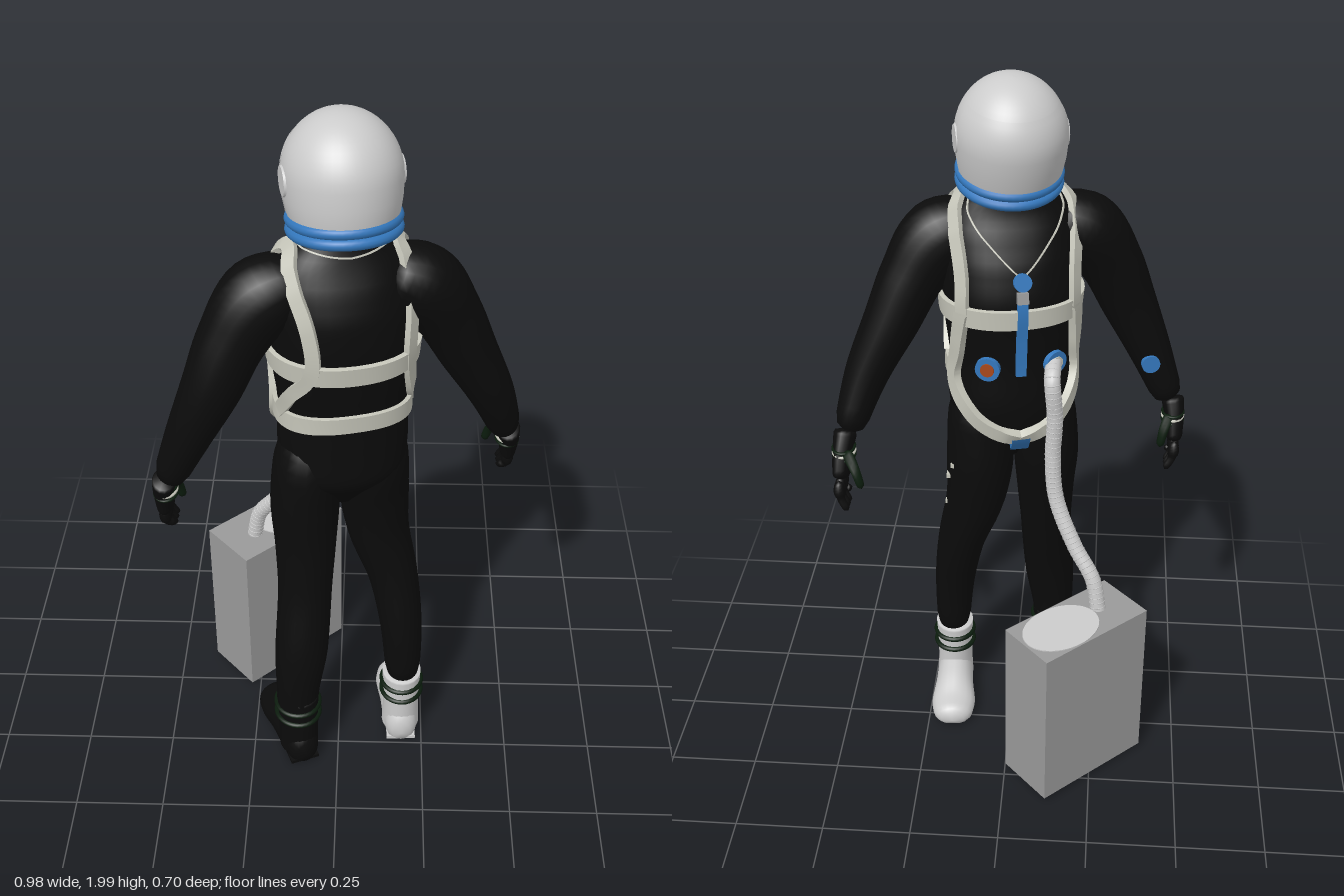
import * as THREE from 'three';
import { mergeVertices, toCreasedNormals } from 'three/addons/utils/BufferGeometryUtils.js';

const V = (x, y, z) => new THREE.Vector3(x, y, z);
const mat = (color) => new THREE.MeshStandardMaterial({ color });
const YAW = 0.26; // the figure faces -z, turned a little towards -x

// Surface from a rule f(i, j): i runs along, j runs around
function grid(n, m, f, crease) {
  const pos = [], idx = [];
  for (let i = 0; i <= n; i++) for (let j = 0; j <= m; j++) pos.push(...f(i, j).toArray());
  for (let i = 0; i < n; i++) for (let j = 0; j < m; j++) {
    const a = i * (m + 1) + j, c = a + m + 1;
    idx.push(a, c, a + 1, a + 1, c, c + 1);
  }
  let g = new THREE.BufferGeometry();
  g.setAttribute('position', new THREE.Float32BufferAttribute(pos, 3));
  g.setIndex(idx);
  if (crease) return toCreasedNormals(g, 0.7);
  g = mergeVertices(g, 1e-5);
  g.computeVertexNormals();
  return g;
}

// Rounded limb through points [x, y, z, r, r2]
function limb(pts, { n = 32, m = 20, ref = V(0, 0, 1), cap = 0.06, floor = -1 } = {}) {
  const path = new THREE.CatmullRomCurve3(pts.map((p) => V(p[0], p[1], p[2])));
  const rad = new THREE.CatmullRomCurve3(pts.map((p) => V(p[3], p[4] ?? p[3], 0)));
  return grid(n, m, (i, j) => {
    const t = i / n, e = Math.min(1, Math.min(t, 1 - t) / cap);
    const k = Math.sqrt(Math.max(0, 1 - (1 - e) ** 2)), w = ((j % m) / m) * Math.PI * 2;
    const T = path.getTangent(t), A = ref.clone().cross(T).normalize(), B = A.clone().cross(T);
    const r = rad.getPoint(t);
    const p = path.getPoint(t).addScaledVector(A, r.x * k * Math.cos(w)).addScaledVector(B, r.y * k * Math.sin(w));
    p.y = Math.max(p.y, floor);
    return p;
  });
}

// Torso sections: height, half width, half depth, centre z
const TORSO = [
  [0.9, 0.04, 0.04, 0.16], [0.96, 0.1, 0.09, 0.158], [1.03, 0.165, 0.138, 0.156], [1.12, 0.172, 0.144, 0.149],
  [1.22, 0.168, 0.142, 0.15], [1.32, 0.178, 0.15, 0.155], [1.42, 0.187, 0.16, 0.158], [1.52, 0.187, 0.148, 0.167],
  [1.6, 0.18, 0.12, 0.172], [1.655, 0.158, 0.095, 0.172], [1.69, 0.122, 0.086, 0.167], [1.75, 0.08, 0.075, 0.16],
];
const torsoCurve = new THREE.CatmullRomCurve3(TORSO.map((s) => V(s[1], s[2], s[3])));
// Point on the torso; angle 0 is the chest, 90 the +x side, 180 the back
function onTorso(deg, y) {
  let i = 0;
  while (i < TORSO.length - 2 && y > TORSO[i + 1][0]) i++;
  const f = THREE.MathUtils.clamp((y - TORSO[i][0]) / (TORSO[i + 1][0] - TORSO[i][0]), 0, 1);
  const s = torsoCurve.getPoint((i + f) / (TORSO.length - 1)), a = THREE.MathUtils.degToRad(deg);
  const soft = (v) => Math.sign(v) * Math.abs(v) ** 0.9;
  return V(soft(Math.sin(a)) * s.x, y, -soft(Math.cos(a)) * s.y).applyAxisAngle(V(0, 1, 0), YAW).add(V(0.01, 0, s.z));
}
function torsoNormal(deg, y) {
  const du = onTorso(deg, y + 0.01).sub(onTorso(deg, y - 0.01));
  return du.cross(onTorso(deg + 2, y).sub(onTorso(deg - 2, y))).normalize();
}
// Webbing lying on the torso through [angle, height] points
function strap(pts, width, thick = 0.012, n = 48) {
  const c = new THREE.CatmullRomCurve3(pts.map(([a, y]) => V(a / 100, y, 0)));
  const at = (t) => { const p = c.getPoint(THREE.MathUtils.clamp(t, 0, 1)); return [p.x * 100, p.y]; };
  const corners = [[1, 1], [-1, 1], [-1, -1], [1, -1]];
  return grid(n, 4, (i, j) => {
    const t = i / n, N = torsoNormal(...at(t));
    const T = onTorso(...at(t + 0.01)).sub(onTorso(...at(t - 0.01))).normalize();
    const S = T.cross(N).normalize(), [s, o] = corners[j % 4];
    return onTorso(...at(t)).addScaledVector(S, s * width / 2).addScaledVector(N, o * thick);
  }, true);
}

export function createModel() {
  const root = new THREE.Group();
  const black = mat(0x0b0b0b), green = mat(0x0b1c0d), white = mat(0xcccccc), web = mat(0xc6c6ba);
  const blue = mat(0x3478bd), orange = mat(0xa8481c), grey = mat(0x9a9a9a);
  const add = (name, geo, m, parent = root) => {
    const o = new THREE.Mesh(geo, m);
    o.name = name;
    parent.add(o);
    return o;
  };
  const pin = (o, deg, y, out = 0) => {
    const N = torsoNormal(deg, y);
    o.position.copy(onTorso(deg, y)).addScaledVector(N, out);
    o.lookAt(o.position.clone().add(N));
  };
  const disc = (r, h) => new THREE.CylinderGeometry(r, r, h, 24).rotateX(Math.PI / 2);

  // Suit
  add('torso', grid(44, 40, (i, j) => onTorso((j % 40) * 9, 0.9 + (0.85 * i) / 44)), black);
  add('rightLeg', limb([[-0.068, 1.17, 0.165, 0.06, 0.08], [-0.081, 1.03, 0.18, 0.092, 0.122], [-0.09, 0.9, 0.184, 0.094, 0.116], [-0.09, 0.76, 0.2, 0.084, 0.095],
    [-0.093, 0.6, 0.225, 0.075, 0.081], [-0.103, 0.42, 0.262, 0.075, 0.076], [-0.116, 0.25, 0.275, 0.061, 0.064], [-0.117, 0.06, 0.275, 0.052, 0.056]]), black);
  add('leftLeg', limb([[0.082, 1.17, 0.135, 0.06, 0.08], [0.093, 1.03, 0.132, 0.092, 0.122], [0.094, 0.9, 0.117, 0.096, 0.112], [0.108, 0.76, 0.118, 0.086, 0.095],
    [0.152, 0.6, 0.135, 0.07, 0.081], [0.18, 0.42, 0.165, 0.06, 0.071], [0.19, 0.2, 0.178, 0.048, 0.056]]), black);
  add('rightArm', limb([[-0.08, 1.615, 0.195, 0.055, 0.075], [-0.187, 1.555, 0.227, 0.1, 0.096], [-0.255, 1.455, 0.253, 0.088, 0.084],
    [-0.308, 1.33, 0.272, 0.078, 0.076], [-0.375, 1.18, 0.272, 0.061, 0.065], [-0.445, 1.01, 0.262, 0.041, 0.046]]), black);
  add('leftArm', limb([[0.1, 1.615, 0.172, 0.055, 0.075], [0.203, 1.555, 0.147, 0.1, 0.096], [0.27, 1.455, 0.12, 0.088, 0.084],
    [0.328, 1.33, 0.094, 0.077, 0.076], [0.399, 1.18, 0.064, 0.061, 0.065], [0.455, 1.01, 0.014, 0.041, 0.046]]), black);

  // Gloves: palm, four fingers, a thumb and slim cuff bands
  for (const [name, s, x, z, lean, reach] of [['rightHand', -1, -0.45, 0.26, 0.035, 0.032], ['leftHand', 1, 0.458, 0.008, 0.06, 0.054]]) {
    const g = new THREE.Group();
    g.name = name;
    g.position.set(x, 1.01, z);
    root.add(g);
    add('palm', limb([[0, 0.02, 0.01, 0.034, 0.04], [0.008 * s, -0.04, -lean * 0.4, 0.028, 0.042], [0.01 * s, -0.11, -lean, 0.023, 0.046]], { n: 16, m: 14, cap: 0.12 }), black, g);
    for (let f = 0; f < 4; f++) {
      const fz = -lean + 0.033 - f * 0.022, tip = f === 0 ? 0.025 : 0;
      add('finger', limb([[0.01 * s, -0.09, fz, 0.012], [0.006 * s, -0.14, fz - 0.008, 0.012],
        [-0.014 * s, -0.178 + tip, fz - 0.016, 0.0105]], { n: 12, m: 8, cap: 0.15 }), black, g);
    }
    add('thumb', limb([[-0.005 * s, -0.02, -lean * 0.4 - 0.02, 0.017], [-0.7 * reach * s, -0.06, -lean - 0.03, 0.014],
      [-reach * s, -0.11, -lean - 0.04, 0.011]], { n: 12, m: 8, cap: 0.15 }), green, g);
    [[-0.034, web], [-0.022, green], [-0.046, green]].forEach(([y, m]) => {
      const cuff = add('gloveCuff', new THREE.TorusGeometry(0.03, 0.004, 8, 24).rotateX(Math.PI / 2), m, g);
      cuff.position.set(0.003 * s, y, -lean * 0.4);
      cuff.scale.z = 1.35;
    });
  }

  // Boots: foot, shaft, shallow treads and ankle bands
  for (const [name, x, z, yaw, m, r] of [['rightBoot', -0.117, 0.272, 0.38, black, 0.06], ['leftBoot', 0.186, 0.176, 0.05, white, 0.056]]) {
    const g = new THREE.Group();
    g.name = name;
    g.position.set(x, 0, z);
    g.rotation.y = yaw;
    root.add(g);
    add('foot', limb([[0, 0.05, 0.078, 0.04, 0.055], [0, 0.055, 0.0, 0.053, 0.08], [0, 0.05, -0.08, 0.058, 0.068],
      [0, 0.036, -0.16, 0.066, 0.047], [0, 0.03, -0.236, 0.05, 0.036]], { ref: V(0, 1, 0), cap: 0.12, floor: 0.012 }), m, g);
    add('shaft', limb([[0, 0.03, 0, 0.056, 0.062], [0, 0.12, 0.002, r - 0.003, r + 0.005], [0, 0.255, 0, r + 0.001, r + 0.007]], { cap: 0.02 }), m, g);
    for (const tz of [0.03, -0.09, -0.17]) add('tread', new THREE.BoxGeometry(0.085, 0.01, 0.055), m, g).position.set(0, 0.011, tz);
    for (const y of [0.17, 0.21]) {
      const band = add('ankleBand', new THREE.TorusGeometry(r + 0.001, 0.008, 8, 32).rotateX(Math.PI / 2), green, g);
      band.position.y = y;
      band.scale.z = 1.08;
    }
  }

  // Helmet, tipped forward on its neck ring, with a close-fitting visor
  const helmet = new THREE.Group();
  helmet.name = 'helmet';
  helmet.position.set(0.014, 1.727, 0.163);
  helmet.rotation.set(-0.17, YAW, 0, 'YXZ');
  root.add(helmet);
  const profile = [[0.126, 0], [0.135, 0.03], [0.142, 0.07], [0.145, 0.115]];
  for (let i = 1; i <= 14; i++) {
    const a = (i * Math.PI) / 28;
    profile.push([i === 14 ? 0 : 0.145 * Math.cos(a), 0.12 + 0.155 * Math.sin(a)]);
  }
  const lathe = (pts, ...arc) => new THREE.LatheGeometry(pts.map((p) => new THREE.Vector2(...p)), 48, ...arc);
  add('shell', lathe(profile), white, helmet).scale.z = 1.08;
  const visorMat = white.clone();
  visorMat.side = THREE.DoubleSide;
  const visor = add('visor', lathe(profile.slice(1, 10).map(([r, y]) => [r + 0.002, y]), Math.PI * 0.54, Math.PI * 0.92), visorMat, helmet);
  visor.scale.z = 1.08;
  for (const s of [-1, 1]) {
    const ear = add('visorPivot', new THREE.CylinderGeometry(0.036, 0.042, 0.014, 24).rotateZ(-s * Math.PI / 2), white, helmet);
    ear.position.set(s * 0.139, 0.115, 0);
  }
  for (const y of [0.017, -0.01]) {
    const ring = add('neckRing', new THREE.TorusGeometry(0.128, 0.0145, 12, 48).rotateX(Math.PI / 2), blue, helmet);
    ring.position.y = y;
    ring.scale.z = 1.06;
  }
  add('neckSeal', new THREE.CylinderGeometry(0.122, 0.1, 0.035, 36), black, helmet).position.y = -0.015;

  // Harness
  add('chestBand', strap([[0, 1.39], [90, 1.39], [180, 1.39], [270, 1.39], [360, 1.39]], 0.054, 0.012, 72), web);
  add('waistBand', strap([[72, 1.2], [120, 1.215], [180, 1.23], [240, 1.215], [288, 1.2]], 0.048), web);
  for (const s of [-1, 1]) {
    const back = 138 - 7 * s;
    add('shoulderStrap', strap([[50 * s, 1.4], [50 * s, 1.5], [60 * s, 1.61], [90 * s, 1.682], [125 * s, 1.64], [back * s, 1.52],
      [(back + 3) * s, 1.41], [122 * s, 1.3], [100 * s, 1.22]], 0.036, 0.014, 64), web);
    add('groinStrap', strap([[50 * s, 1.4], [60 * s, 1.29], [70 * s, 1.2], [46 * s, 1.1], [22 * s, 1.045], [0, 1.02]], 0.038, 0.02), web);
    add('neckCord', strap([[0, 1.5], [30 * s, 1.6], [70 * s, 1.69], [120 * s, 1.695], [180 * s, 1.68]], 0.004, 0.004), web);
  }
  add('groinPatch', strap([[0, 0.985], [0, 1.03]], 0.05, 0.024, 8), blue);
  add('chestStrap', strap([[0, 1.22], [0, 1.44]], 0.028, 0.014, 16), blue);
  pin(add('regulator', disc(0.024, 0.026), blue), 0, 1.49, 0.003);
  pin(add('regulatorClip', new THREE.BoxGeometry(0.03, 0.03, 0.026), grey), 0, 1.45, 0.003);

  // Chest ports, sleeve gauge and thigh tabs
  for (const [a, m] of [[28, orange], [-32, web]]) {
    pin(add('port', disc(0.034, 0.02), blue), a, 1.24, 0.003);
    pin(add('portCentre', disc(0.019, 0.026), m), a, 1.24, 0.004);
  }
  const gauge = add('sleeveGauge', disc(0.026, 0.016), blue);
  gauge.position.set(-0.38, 1.16, 0.208);
  gauge.rotation.y = Math.PI + 0.2;
  [[0.9, 0.05, 0.166, 0.02], [0.855, 0.072, 0.18, 0.03], [0.75, 0.092, 0.188, 0.014]].forEach(([y, z, x, w]) =>
    add('thighTab', new THREE.BoxGeometry(0.012, 0.012, w), web).position.set(x, y, z));

  // Portable unit with its lid plate
  const unit = new THREE.Group();
  unit.name = 'portableUnit';
  unit.position.set(-0.2, 0.275, -0.162);
  unit.rotation.y = 0.74;
  root.add(unit);
  add('case', new THREE.BoxGeometry(0.37, 0.51, 0.182), grey, unit);
  const lid = add('lidPlate', new THREE.CylinderGeometry(1, 1, 0.004, 48), white, unit);
  lid.scale.set(0.12, 1, 0.088);
  lid.position.set(0.058, 0.256, 0);

  // Hose from the port to the unit, finely ribbed
  const hose = new THREE.CatmullRomCurve3([onTorso(-32, 1.24), V(-0.113, 1.215, -0.008), V(-0.122, 1.1, -0.006), V(-0.118, 0.97, 0.0),
    V(-0.13, 0.84, -0.01), V(-0.185, 0.71, -0.05), V(-0.24, 0.62, -0.085), V(-0.26, 0.52, -0.1)]);
  add('hose', new THREE.TubeGeometry(hose, 80, 0.022, 16), white);
  for (let i = 2; i < 50; i++) {
    const rib = add('hoseRib', new THREE.TorusGeometry(0.021, 0.002, 6, 16), white);
    rib.position.copy(hose.getPointAt(i / 50));
    rib.lookAt(rib.position.clone().add(hose.getTangentAt(i / 50)));
  }
  return root;
}
